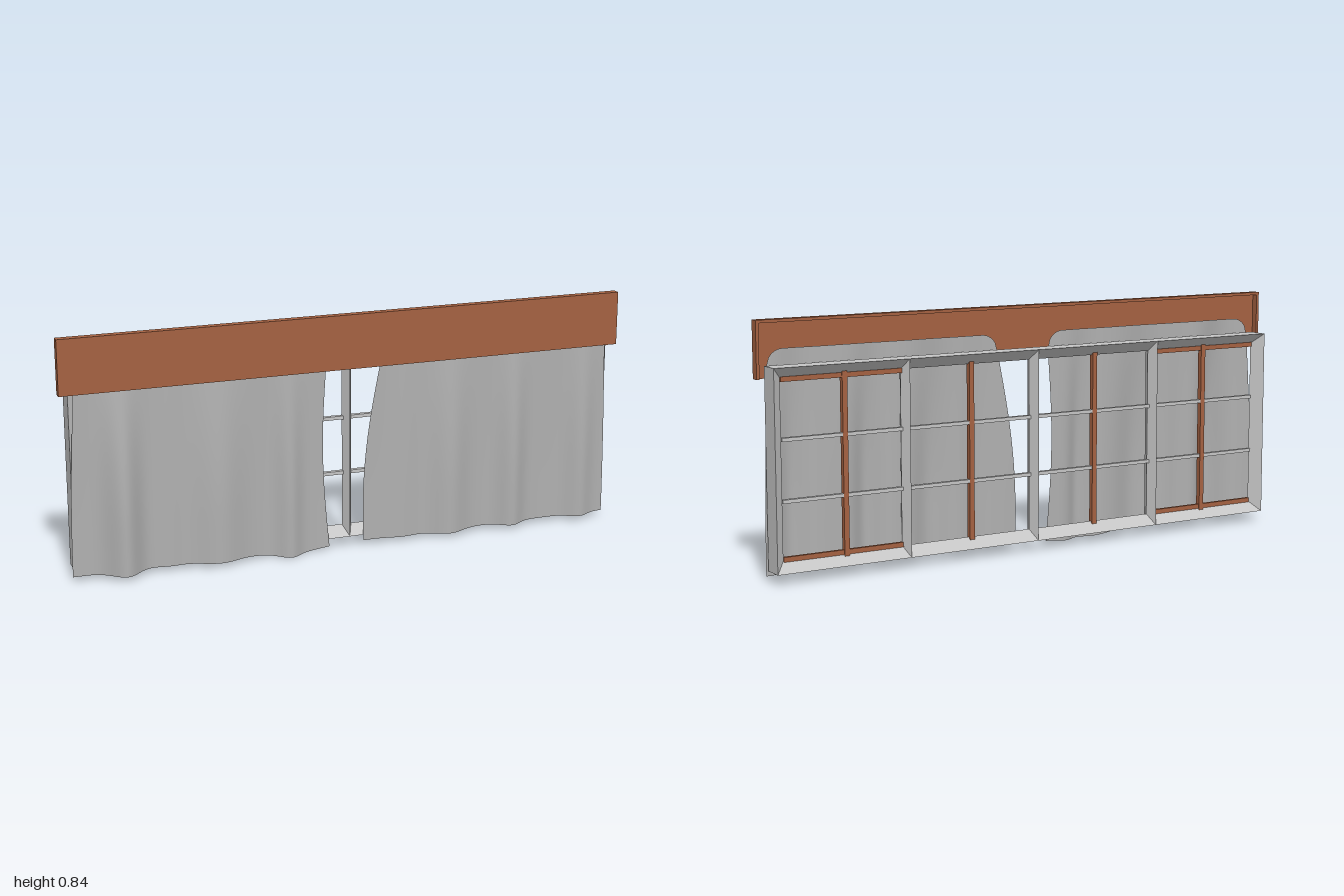
import * as THREE from 'three';

const brown = new THREE.MeshStandardMaterial({ color: 0xa56242 });
brown.name = 'brownWood';
const frameGrey = new THREE.MeshStandardMaterial({ color: 0xc6c6c6, flatShading: true });
frameGrey.name = 'frameGrey';
const clothGrey = new THREE.MeshStandardMaterial({ color: 0xb0b0b0, side: THREE.DoubleSide });
clothGrey.name = 'curtainGrey';

// Window extents
const X0 = -0.963, X1 = 0.979, Y0 = 0.037, Y1 = 0.694, DEPTH = 0.072, BAR = 0.036;
const ZM = -DEPTH / 2;
const MULLIONS = [-0.485, 0.008, 0.5];

function add(group, name, geometry, material, x = 0, y = 0, z = 0) {
  const mesh = new THREE.Mesh(geometry, material);
  mesh.name = name;
  mesh.position.set(x, y, z);
  group.add(mesh);
  return mesh;
}

// Box given by its extents
function box(group, name, material, x0, x1, y0, y1, z0, z1) {
  return add(group, name, new THREE.BoxGeometry(x1 - x0, y1 - y0, z1 - z0), material,
    (x0 + x1) / 2, (y0 + y1) / 2, (z0 + z1) / 2);
}

// Mitred rectangular frame with a triangular section pointing inward
function bevelFrame() {
  const corners = [[-1, -1], [1, -1], [1, 1], [-1, 1]];
  const section = [[0, -DEPTH], [0, 0], [BAR, ZM]];
  const point = (i, k) => {
    const [sx, sy] = corners[i % 4], [inset, z] = section[k % 3];
    return [sx < 0 ? X0 + inset : X1 - inset, sy < 0 ? Y0 + inset : Y1 - inset, z];
  };
  const pos = [];
  for (let i = 0; i < 4; i++) {
    for (let k = 0; k < 3; k++) {
      const a = point(i, k), b = point(i + 1, k), c = point(i + 1, k + 1), d = point(i, k + 1);
      pos.push(...a, ...b, ...c, ...a, ...c, ...d);
    }
  }
  const g = new THREE.BufferGeometry();
  g.setAttribute('position', new THREE.Float32BufferAttribute(pos, 3));
  g.computeVertexNormals();
  return g;
}

// Hanging cloth: straight at the top, folds growing towards the hem
function curtain({ inner, outer, folds, hemDip }) {
  const g = new THREE.PlaneGeometry(1, 1, 90, 24);
  const p = g.attributes.position;
  const R = 0.06;
  for (let i = 0; i < p.count; i++) {
    const u = p.getX(i) + 0.5, v = p.getY(i) + 0.5;
    const lo = inner.x < outer.x ? inner : outer, hi = lo === inner ? outer : inner;
    const edge = e => e.x + (e.bottom - e.x) * Math.sin((1 - v) * Math.PI / 2) + e.bow * Math.sin(v * Math.PI);
    const x = THREE.MathUtils.lerp(edge(lo), edge(hi), u);
    const d = Math.min(R, Math.min(u, 1 - u) * 0.87);
    const top = 0.745 - (R - Math.sqrt(R * R - (R - d) ** 2));
    const hem = 0.019 - hemDip * Math.exp(-(((x + 0.2) / 0.13) ** 2));
    const y = hem + (top - hem) * v;
    const grow = Math.sin(Math.min(1, (1 - y / 0.75) * 1.3) * Math.PI / 2);
    let z = 0.012 - 0.006 * grow;
    for (const [fx, amp, w] of folds) z += amp * (0.08 + 0.92 * grow) * Math.exp(-(((x - fx) / w) ** 2));
    p.setXYZ(i, x, y, z);
  }
  g.computeVertexNormals();
  return g;
}

export function createModel() {
  const model = new THREE.Group();
  model.name = 'curtainedWindow';

  // Valance: shallow wooden box, open behind and below
  const valance = new THREE.Group();
  valance.name = 'valance';
  model.add(valance);
  box(valance, 'valanceFront', brown, -1, 1, 0.65, 0.838, 0.033, 0.04);
  box(valance, 'valanceTop', brown, -1, 1, 0.828, 0.838, 0.011, 0.033);
  for (const s of [-1, 1]) {
    box(valance, 'valanceEnd', brown, s * 0.995 - 0.005, s * 0.995 + 0.005, 0.65, 0.828, 0.011, 0.033);
  }

  // Window frame and diamond-section mullions
  const win = new THREE.Group();
  win.name = 'window';
  model.add(win);
  add(win, 'windowFrame', bevelFrame(), frameGrey);
  for (const x of MULLIONS) {
    const m = add(win, 'mullion', new THREE.CylinderGeometry(1, 1, Y1 - Y0 - 0.004, 4), frameGrey,
      x, (Y0 + Y1) / 2, ZM);
    m.scale.set(0.017, 1, DEPTH / 2);
  }

  // Glazing bars in each pane
  const stops = [X0 + BAR, ...MULLIONS, X1 - BAR];
  for (let i = 0; i < 4; i++) {
    const a = stops[i], b = stops[i + 1], mid = (a + b) / 2;
    box(win, 'verticalGlazingBar', brown, mid - 0.009, mid + 0.009, Y0 + 0.025, Y1 - 0.025, ZM - 0.009, ZM + 0.009);
    for (const y of [0.264, 0.462]) {
      box(win, 'horizontalGlazingBar', frameGrey, a, b, y - 0.006, y + 0.006, ZM - 0.008, ZM + 0.008);
    }
  }

  // Brown sash lining in the two outer panes
  for (const [a, b] of [[stops[0], stops[1] - 0.012], [stops[3] + 0.012, stops[4]]]) {
    const y0 = Y0 + BAR - 0.004, y1 = Y1 - BAR + 0.004, t = 0.016, z0 = ZM - 0.006, z1 = ZM + 0.006;
    box(win, 'sashBottom', brown, a, b, y0, y0 + t, z0, z1);
    box(win, 'sashTop', brown, a, b, y1 - t, y1, z0, z1);
  }

  // Curtains
  add(model, 'rightCurtain', curtain({
    outer: { x: -0.945, bottom: -0.972, bow: 0 },
    inner: { x: -0.08, bottom: -0.07, bow: -0.02 },
    folds: [[-0.8, 0.064, 0.06], [-0.47, 0.046, 0.09], [-0.22, 0.036, 0.045], [-0.64, 0.012, 0.05]],
    hemDip: 0.017,
  }), clothGrey);
  add(model, 'leftCurtain', curtain({
    inner: { x: 0.12, bottom: 0.056, bow: -0.01 },
    outer: { x: 0.968, bottom: 0.984, bow: 0 },
    folds: [[0.37, 0.042, 0.07], [0.61, 0.04, 0.05], [0.88, 0.034, 0.05], [0.2, 0.014, 0.06]],
    hemDip: 0,
  }), clothGrey);

  return model;
}
